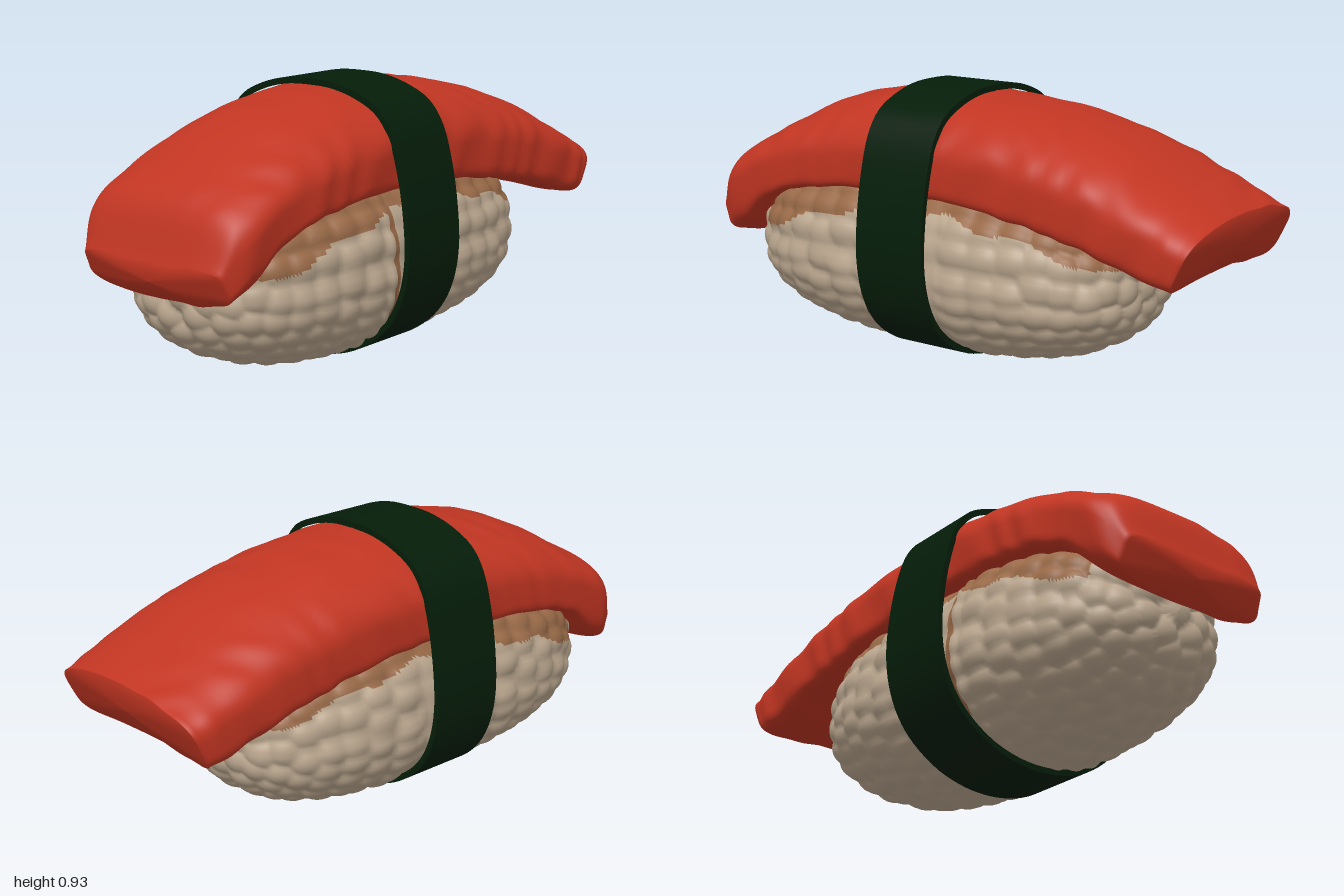
import * as THREE from 'three';
import { toCreasedNormals } from 'three/addons/utils/BufferGeometryUtils.js';

const V = (x, y, z) => new THREE.Vector3(x, y, z);
const spow = (v, p) => Math.sign(v) * Math.abs(v) ** p;

const mat = (name, color) => {
  const m = new THREE.MeshStandardMaterial({ color });
  m.name = name;
  return m;
};

// Closed loft: rows run front to back, columns go round counterclockwise.
// groupOf(centre) picks the material of each triangle.
function loft(rows, cols, pointAt, groupOf = () => 0) {
  const pts = [];
  for (let i = 0; i <= rows; i++)
    for (let j = 0; j < cols; j++) pts.push(pointAt(i, (j / cols) * Math.PI * 2));
  const lists = [[], []];
  const tri = (a, b, c) => {
    const mid = V(0, 0, 0).add(pts[a]).add(pts[b]).add(pts[c]).divideScalar(3);
    lists[groupOf(mid)].push(a, b, c);
  };
  for (let i = 0; i < rows; i++)
    for (let j = 0; j < cols; j++) {
      const k = (j + 1) % cols;
      const a = i * cols + j, b = i * cols + k, c = a + cols, d = b + cols;
      tri(a, c, b);
      tri(b, c, d);
    }
  const geo = new THREE.BufferGeometry().setFromPoints(pts);
  geo.setIndex([...lists[0], ...lists[1]]);
  geo.addGroup(0, lists[0].length, 0);
  geo.addGroup(lists[0].length, lists[1].length, 1);
  geo.computeVertexNormals();
  return geo;
}

// Smooth body of the rice block; phi runs front to back, a goes round.
// Seen from above it is squarer than from the side.
const MID = 0.33, ZC = 0.11;
const taper = (phi, p, q) => Math.max(0, 1 - Math.abs(Math.cos(phi)) ** p) ** q;
function ricePoint(phi, a) {
  const e = Math.sin(a) > 0 ? 0.8 : 0.94;
  const s = spow(Math.sin(a), e) * taper(phi, 2.6, 0.385);
  const x = 0.366 * spow(Math.cos(a), e) * taper(phi, 3.4, 0.35);
  return V(x, MID + s * (s > 0 ? 0.34 : 0.293), ZC + 0.755 * Math.cos(phi));
}

function riceGeometry() {
  let seed = 7;
  const rand = () => (seed = (seed * 16807) % 2147483647) / 2147483647 - 0.5;
  // Grain centres in rings
  const grains = [];
  const rings = 20;
  for (let i = 0; i <= rings; i++) {
    const phi = (i / rings) * Math.PI;
    const n = Math.max(1, Math.round(taper(phi, 2.8, 0.37) * 26));
    for (let j = 0; j < n; j++)
      grains.push(ricePoint(phi + rand() * 0.03, ((j + rand() * 0.3) / n) * Math.PI * 2));
  }
  const rows = 150;
  const pointAt = (i, a) => {
    const p = ricePoint((i / rows) * Math.PI, a);
    let best = 1;
    for (const g of grains) {
      const d = (p.x - g.x) ** 2 + (p.y - g.y) ** 2 + ((p.z - g.z) * 0.8) ** 2;
      if (d < best) best = d;
    }
    // Grains are pressed flat under the band
    const height = p.z > -0.05 && p.z < 0.245 ? 0.01 : 0.027;
    const bump = height * Math.max(0, 1 - best / 0.0038);
    const out = V(p.x, p.y - MID, (p.z - ZC) * 0.4).normalize();
    return p.addScaledVector(out, bump);
  };
  // Sauce stain just below the fish and beside the band
  const stained = (m) => {
    const edge = 0.57 - 0.2 * (m.z - 0.05) ** 2;
    const depth = 0.03 + 0.1 * Math.min(0.4, m.z * m.z) + 0.012 * Math.sin(m.z * 21);
    const besideBand = m.z > 0.22 && m.z < 0.252 && m.y > 0.12;
    return (m.z < 0.78 && m.y > edge - depth) || besideBand ? 1 : 0;
  };
  return loft(rows, 140, pointAt, stained);
}

function fishGeometry() {
  // Top line holds (half width, y, z); bottom line holds (crown, y, z)
  const curve = (list) => new THREE.CatmullRomCurve3(list.map((p) => V(...p)), false, 'catmullrom', 0.5);
  const top = curve([
    [0.298, 0.465, 0.985], [0.333, 0.64, 0.92], [0.343, 0.745, 0.77], [0.348, 0.85, 0.55], [0.348, 0.913, 0.25],
    [0.348, 0.916, 0], [0.35, 0.89, -0.3], [0.353, 0.815, -0.6], [0.353, 0.725, -0.8], [0.35, 0.625, -0.995],
  ]);
  const bottom = curve([
    [-0.015, 0.345, 0.92], [0.02, 0.375, 0.84], [0.06, 0.48, 0.7], [0.09, 0.525, 0.5], [0.105, 0.54, 0.25],
    [0.105, 0.54, 0], [0.1, 0.51, -0.3], [0.08, 0.455, -0.6], [0.055, 0.41, -0.77], [0.035, 0.39, -0.9],
  ]);
  // Shrinking rings close both ends
  const cap = [0, 0.4, 0.7, 0.84, 0.92, 0.97];
  const steps = 110;
  const stations = [
    ...cap.map((s) => [0, s, 1]),
    ...Array.from({ length: steps + 1 }, (_, i) => [i / steps, 1, 0]),
    ...cap.slice().reverse().map((s) => [1, s, -1]),
  ];
  const pointAt = (i, a) => {
    const [u, s, dir] = stations[i];
    const t = top.getPoint(u), b = bottom.getPoint(u);
    const cx = s * spow(Math.cos(a), 0.5);
    const v = (s * spow(Math.sin(a), 0.5) + 1) / 2;
    const p = V(cx * t.x, 0, THREE.MathUtils.lerp(b.z, t.z, v) + dir * 0.03 * (1 - s * s));
    const low = b.y + b.x * (1 - cx * cx), high = t.y - b.x * cx * cx;
    p.y = THREE.MathUtils.lerp(low, high, v);
    // Soft, uneven wrinkles across the slice
    const w = Math.sin(31 * p.z + 17 * p.x + 3 * Math.sin(8 * p.x + 5 * p.z)) * Math.sin(9 * p.z - 6 * p.x);
    p.y += 0.0035 * w * s;
    p.x += 0.004 * Math.cos(a) * Math.sin(41 * p.z + 22 * p.y + 2 * Math.sin(13 * p.z)) * s;
    return p;
  };
  return loft(stations.length - 1, 80, pointAt);
}

function bandGeometry() {
  // Right half of the loop outline, mirrored to the left
  const half = [
    [0, 0.935], [0.1, 0.93], [0.2, 0.905], [0.29, 0.86], [0.345, 0.79], [0.387, 0.66], [0.413, 0.5],
    [0.418, 0.38], [0.4, 0.27], [0.36, 0.18], [0.3, 0.11], [0.2, 0.045], [0.1, 0.013], [0, 0.003],
  ];
  const loop = [...half, ...half.slice(1, -1).reverse().map(([x, y]) => [-x, y])];
  const outline = (k) =>
    new THREE.CatmullRomCurve3(loop.map(([x, y]) => V(x * k, 0.47 + (y - 0.47) * k, 0)), true)
      .getPoints(96).slice(0, -1).map((p) => new THREE.Vector2(p.x, p.y));
  const shape = new THREE.Shape(outline(1));
  shape.holes.push(new THREE.Path(outline(0.955)));
  const geo = new THREE.ExtrudeGeometry(shape, { depth: 0.275, bevelEnabled: false });
  geo.translate(0, 0, -0.04);
  return toCreasedNormals(geo, 0.6);
}

export function createModel() {
  const rice = mat('rice', 0xbba78f);
  const stain = mat('sauceStain', 0x996a48);
  const fish = mat('fish', 0xc13522);
  const seaweed = mat('seaweed', 0x051d09);

  const group = new THREE.Group();
  group.name = 'sushi';
  const add = (name, geo, material) => {
    const mesh = new THREE.Mesh(geo, material);
    mesh.name = name;
    group.add(mesh);
  };
  add('riceBlock', riceGeometry(), [rice, stain]);
  add('fishSlice', fishGeometry(), [fish, fish]);
  add('seaweedBand', bandGeometry(), seaweed);
  return group;
}
